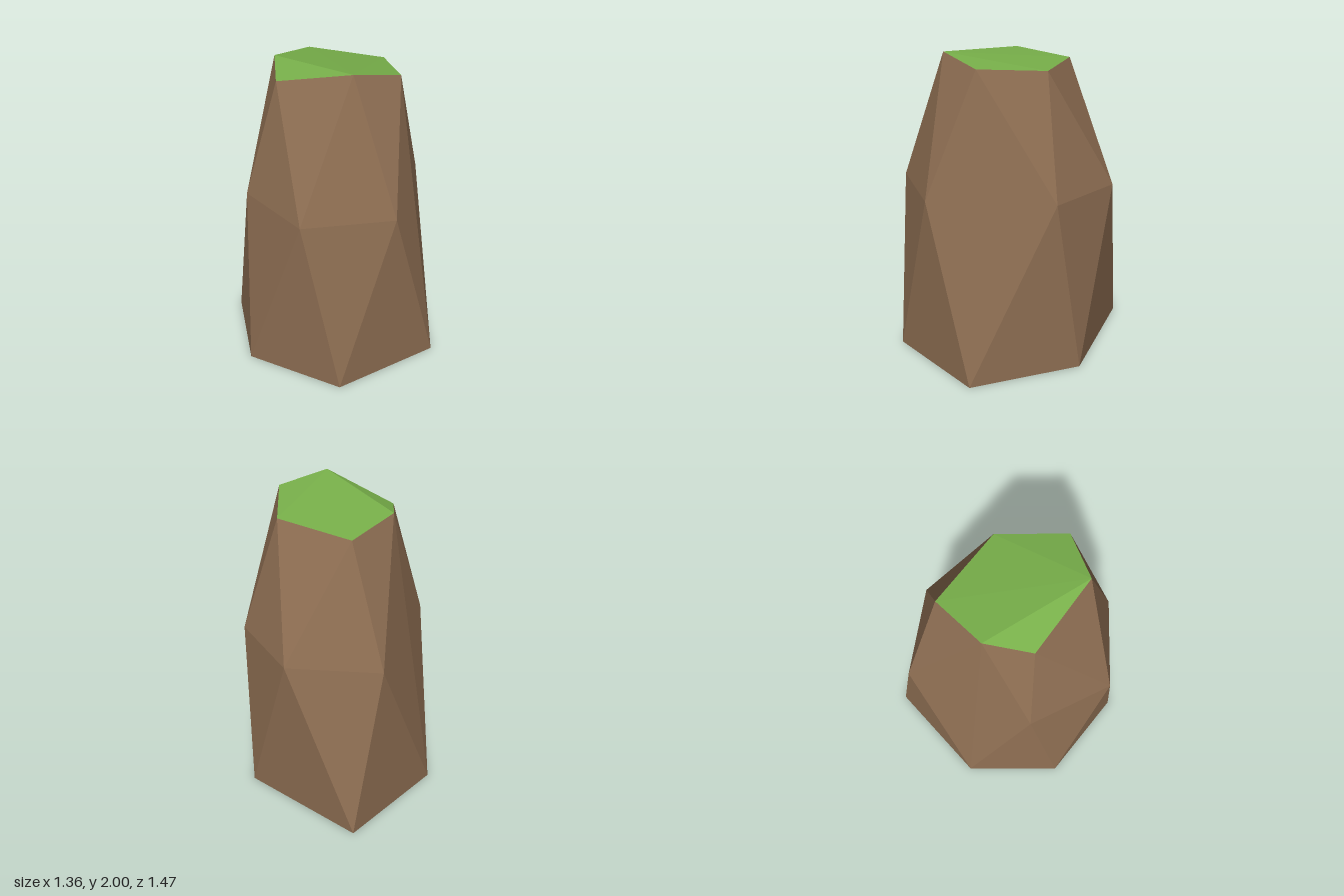
import * as THREE from 'three';
import { ConvexGeometry } from 'three/addons/geometries/ConvexGeometry.js';

// Three staggered six-sided rings, listed as x, y, z
const base = [[-0.43, 0, 0.625], [0.31, 0, 0.735], [0.675, 0, 0.08], [0.385, 0, -0.735], [-0.365, 0, -0.56], [-0.68, 0, 0]];
const waist = [[-0.06, 1.14, 0.71], [0.59, 1.14, 0.24], [0.61, 1.14, -0.31], [0.14, 1.14, -0.68], [-0.535, 1.14, -0.16], [-0.565, 1.14, 0.41]];
const rim = [[-0.165, 2, 0.42], [0.16, 1.94, 0.48], [0.39, 1.905, 0.1], [0.18, 1.9, -0.39], [-0.185, 1.945, -0.29], [-0.36, 1.88, -0.05]];

// Keep only the hull triangles that pass a test on their three heights
function pickFaces(hull, test) {
  const p = hull.attributes.position;
  const out = [];
  for (let i = 0; i < p.count; i += 3) {
    if (!test(Math.min(p.getY(i), p.getY(i + 1), p.getY(i + 2)))) continue;
    for (let k = i; k < i + 3; k++) out.push(p.getX(k), p.getY(k), p.getZ(k));
  }
  const g = new THREE.BufferGeometry();
  g.setAttribute('position', new THREE.Float32BufferAttribute(out, 3));
  g.computeVertexNormals();
  return g;
}

export function createModel() {
  const model = new THREE.Group();
  model.name = 'grassToppedRock';

  const earth = new THREE.MeshStandardMaterial({ color: 0x8f6f53 });
  earth.name = 'earth brown';
  const grass = new THREE.MeshStandardMaterial({ color: 0x78b04a });
  grass.name = 'grass green';

  const points = [...base, ...waist, ...rim].map((p) => new THREE.Vector3(...p));
  const hull = new ConvexGeometry(points);

  // Faceted sides and underside
  const rock = new THREE.Mesh(pickFaces(hull, (y) => y < 1.8), earth);
  rock.name = 'rockBody';

  // Grassy cap closing the rim
  const cap = new THREE.Mesh(pickFaces(hull, (y) => y >= 1.8), grass);
  cap.name = 'grassCap';

  model.add(rock, cap);
  return model;
}
